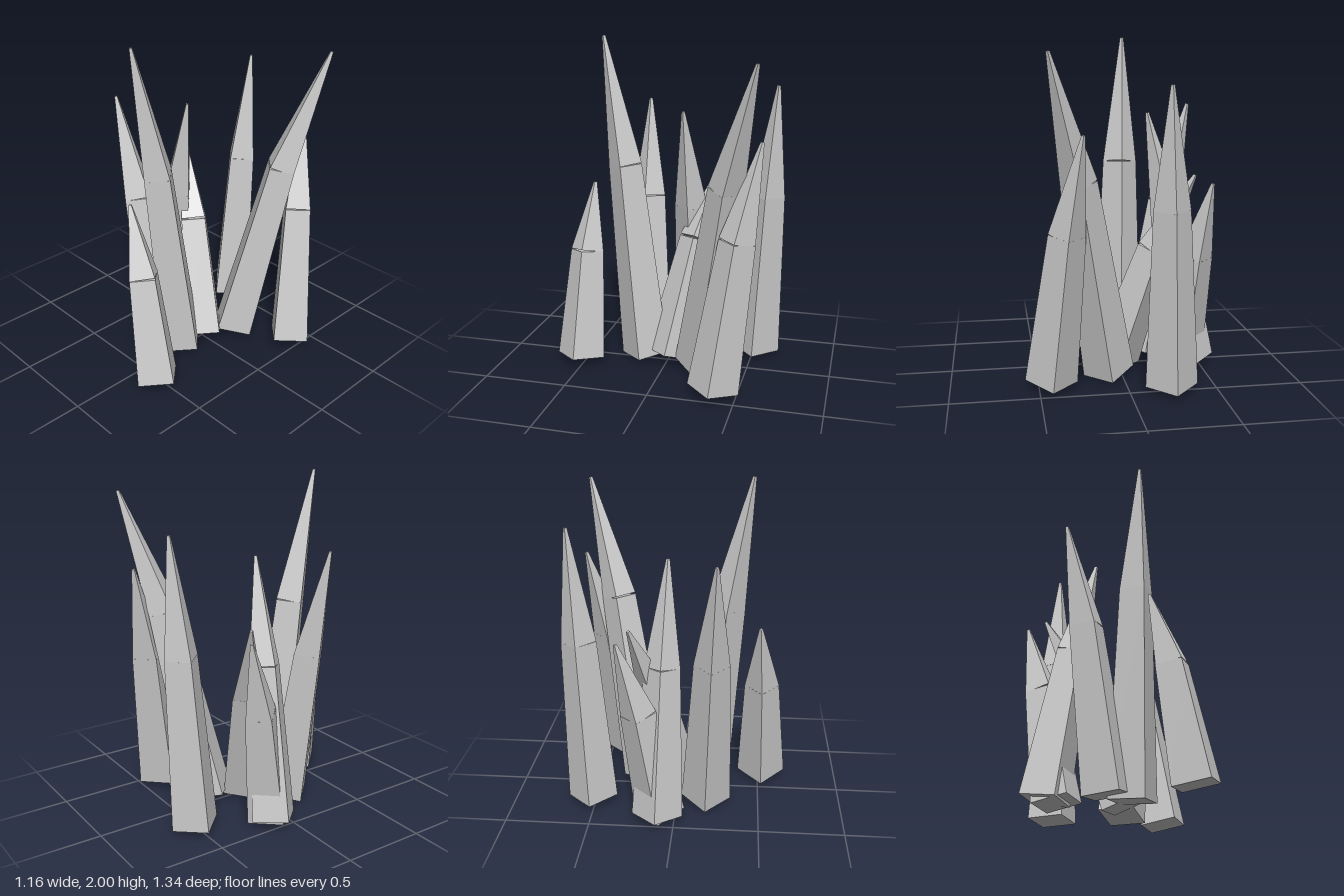
import * as THREE from 'three';

const BASE_R = 0.15, MID_R = 0.105, TIP_R = 0.011;
const UP = new THREE.Vector3(0, 1, 0);

// Base centre, bend centre and tip of every crystal
const CRYSTALS = [
  [[-0.03, 0.03, 0.155], [-0.065, 1.23, 0.285], [-0.10, 2.0, 0.42]],
  [[0.08, 0.04, -0.215], [0.27, 1.18, -0.40], [0.445, 1.89, -0.585]],
  [[-0.235, 0.045, -0.515], [-0.215, 1.05, -0.57], [-0.20, 1.72, -0.62]],
  [[-0.19, 0.04, 0.18], [-0.34, 0.98, 0.21], [-0.485, 1.59, 0.235]],
  [[-0.435, 0.05, -0.10], [-0.30, 0.94, -0.075], [-0.175, 1.55, -0.05]],
  [[0.43, 0.055, -0.37], [0.345, 0.91, -0.48], [0.265, 1.46, -0.595]],
  [[0.005, 0.05, -0.01], [-0.21, 0.75, -0.13], [-0.42, 1.2, -0.25]],
  [[-0.37, 0.04, -0.09], [-0.44, 0.71, -0.20], [-0.51, 1.155, -0.31]],
  [[0.155, 0.05, 0.52], [0.04, 0.70, 0.505], [-0.08, 1.11, 0.485]],
];

export function createModel() {
  const model = new THREE.Group();
  model.name = 'crystalCluster';
  const material = new THREE.MeshStandardMaterial({ color: 0xcccccc, flatShading: true });

  // Four-sided tapered prism running from one point to another
  const prism = (name, from, to, r0, r1) => {
    const axis = to.clone().sub(from);
    const length = axis.length();
    const geometry = new THREE.CylinderGeometry(r1, r0, length, 4);
    geometry.translate(0, length / 2, 0);
    const mesh = new THREE.Mesh(geometry, material);
    mesh.name = name;
    mesh.position.copy(from);
    mesh.quaternion.setFromUnitVectors(UP, axis.normalize());
    return mesh;
  };

  // Each crystal has a shaft and a more strongly leaning point
  CRYSTALS.forEach((points, i) => {
    const [base, bend, tip] = points.map((p) => new THREE.Vector3(...p));
    const crystal = new THREE.Group();
    crystal.name = `crystal${i + 1}`;
    crystal.add(prism('shaft', base, bend, BASE_R, MID_R));
    crystal.add(prism('point', bend, tip, MID_R, TIP_R));
    model.add(crystal);
  });

  return model;
}
